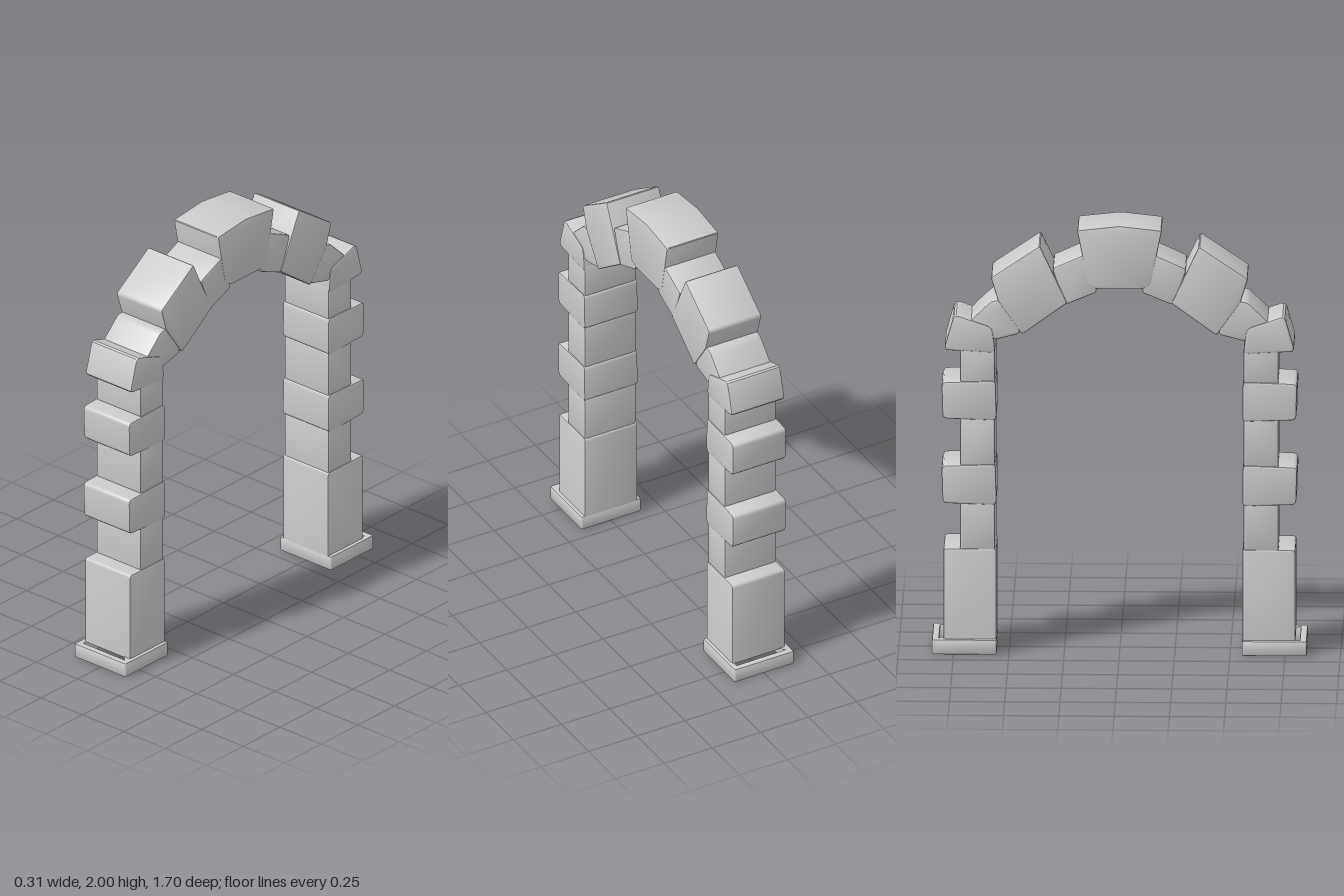
import * as THREE from 'three';
import { toCreasedNormals } from 'three/addons/utils/BufferGeometryUtils.js';

const material = new THREE.MeshStandardMaterial({ color: 0xcccccc });
const openMaterial = new THREE.MeshStandardMaterial({ color: 0xcccccc, side: THREE.DoubleSide });

// Closed outline through [a, b] corners, each corner rounded off
function roundedShape(corners, radius) {
  const pts = corners.map(([a, b]) => new THREE.Vector2(a, b));
  const shape = new THREE.Shape();
  pts.forEach((p, i) => {
    const prev = pts[(i + pts.length - 1) % pts.length];
    const next = pts[(i + 1) % pts.length];
    const start = p.clone().add(prev.clone().sub(p).setLength(radius));
    const end = p.clone().add(next.clone().sub(p).setLength(radius));
    if (i === 0) shape.moveTo(start.x, start.y);
    else shape.lineTo(start.x, start.y);
    shape.quadraticCurveTo(p.x, p.y, end.x, end.y);
  });
  shape.closePath();
  return shape;
}

function bevelExtrude(shape, depth, bevel) {
  return new THREE.ExtrudeGeometry(shape, {
    depth: depth - 2 * bevel, bevelThickness: bevel, bevelSize: bevel,
    bevelOffset: -bevel, bevelSegments: 2, curveSegments: 3,
  });
}

// Stone with a [z, y] side outline, spanning the width of the arch in x
function stoneGeometry(corners, width, radius = 0.016) {
  const bevel = 0.008;
  const geometry = bevelExtrude(roundedShape(corners, radius), width, bevel);
  geometry.translate(0, 0, bevel - width / 2);
  geometry.rotateY(-Math.PI / 2);
  return toCreasedNormals(geometry, 0.6);
}

// Drop the triangles lying on the underside
function openBottom(geometry, limit) {
  const pos = geometry.attributes.position;
  const kept = [];
  for (let i = 0; i < pos.count; i += 3) {
    if (Math.max(pos.getY(i), pos.getY(i + 1), pos.getY(i + 2)) < limit) continue;
    for (let j = i; j < i + 3; j++) kept.push(pos.getX(j), pos.getY(j), pos.getZ(j));
  }
  const open = new THREE.BufferGeometry();
  open.setAttribute('position', new THREE.Float32BufferAttribute(kept, 3));
  return toCreasedNormals(open, 0.6);
}

const rect = (a0, a1, b0, b1) => [[a0, b0], [a1, b0], [a1, b1], [a0, b1]];

function addMesh(group, name, geometry, mat = material) {
  const mesh = new THREE.Mesh(geometry, mat);
  mesh.name = name;
  group.add(mesh);
}

// Hollow plinth frame under a leg
function plinthGeometry() {
  const height = 0.07, bevel = 0.008;
  const shape = roundedShape(rect(-0.155, 0.155, -0.848, -0.555), 0.01);
  shape.holes.push(new THREE.Path(
    [[-0.125, -0.815], [-0.125, -0.585], [0.125, -0.585], [0.125, -0.815]]
      .map(([x, y]) => new THREE.Vector2(x, y))));
  const geometry = bevelExtrude(shape, height, bevel);
  geometry.translate(0, 0, bevel);
  geometry.rotateX(-Math.PI / 2);
  return toCreasedNormals(geometry, 0.6);
}

// One leg and its half of the arch, on the +z side
function buildHalf(name) {
  const half = new THREE.Group();
  half.name = name;
  addMesh(half, 'plinth', plinthGeometry());
  addMesh(half, 'lowerBlock',
    openBottom(stoneGeometry(rect(0.556, 0.796, 0.05, 0.492), 0.276), 0.07), openMaterial);

  // Narrow and projecting stones alternate up the leg
  const levels = [0.488, 0.695, 0.886, 1.09, 1.276, 1.425];
  for (let i = 0; i < 5; i++) {
    const wide = i % 2 === 1;
    const outline = wide
      ? [[0.556, levels[i]], [0.8, levels[i] + 0.008], [0.805, levels[i + 1] - 0.008], [0.558, levels[i + 1]]]
      : rect(0.562, 0.72, levels[i] - 0.01, levels[i + 1] + 0.01);
    addMesh(half, wide ? 'projectingStone' : 'narrowStone',
      stoneGeometry(outline, wide ? 0.278 : 0.268, wide ? 0.022 : 0.012));
  }

  // Stones curving over toward the crown
  addMesh(half, 'springerStone', stoneGeometry(
    [[0.56, 1.405], [0.795, 1.418], [0.748, 1.585], [0.575, 1.525]], 0.276, 0.025));
  addMesh(half, 'lowerArchStone', stoneGeometry(
    [[0.565, 1.465], [0.68, 1.55], [0.58, 1.647], [0.46, 1.66], [0.45, 1.495]], 0.266));
  addMesh(half, 'largeArchStone', stoneGeometry(
    [[0.235, 1.64], [0.44, 1.492], [0.548, 1.645], [0.582, 1.757], [0.36, 1.907]], 0.274, 0.012));
  addMesh(half, 'upperArchStone', stoneGeometry(
    [[0.1, 1.69], [0.245, 1.63], [0.305, 1.8], [0.15, 1.87]], 0.264));
  return half;
}

export function createModel() {
  const arch = new THREE.Group();
  arch.name = 'stoneArch';
  const front = buildHalf('frontHalf');
  const back = buildHalf('backHalf');
  back.rotation.y = Math.PI;
  arch.add(front, back);

  // Wedge stone at the crown
  addMesh(arch, 'keystone', stoneGeometry([
    [-0.1, 1.705], [0.1, 1.705], [0.142, 1.725], [0.192, 1.98],
    [0, 2.001], [-0.192, 1.98], [-0.142, 1.725],
  ], 0.27, 0.01));
  return arch;
}
